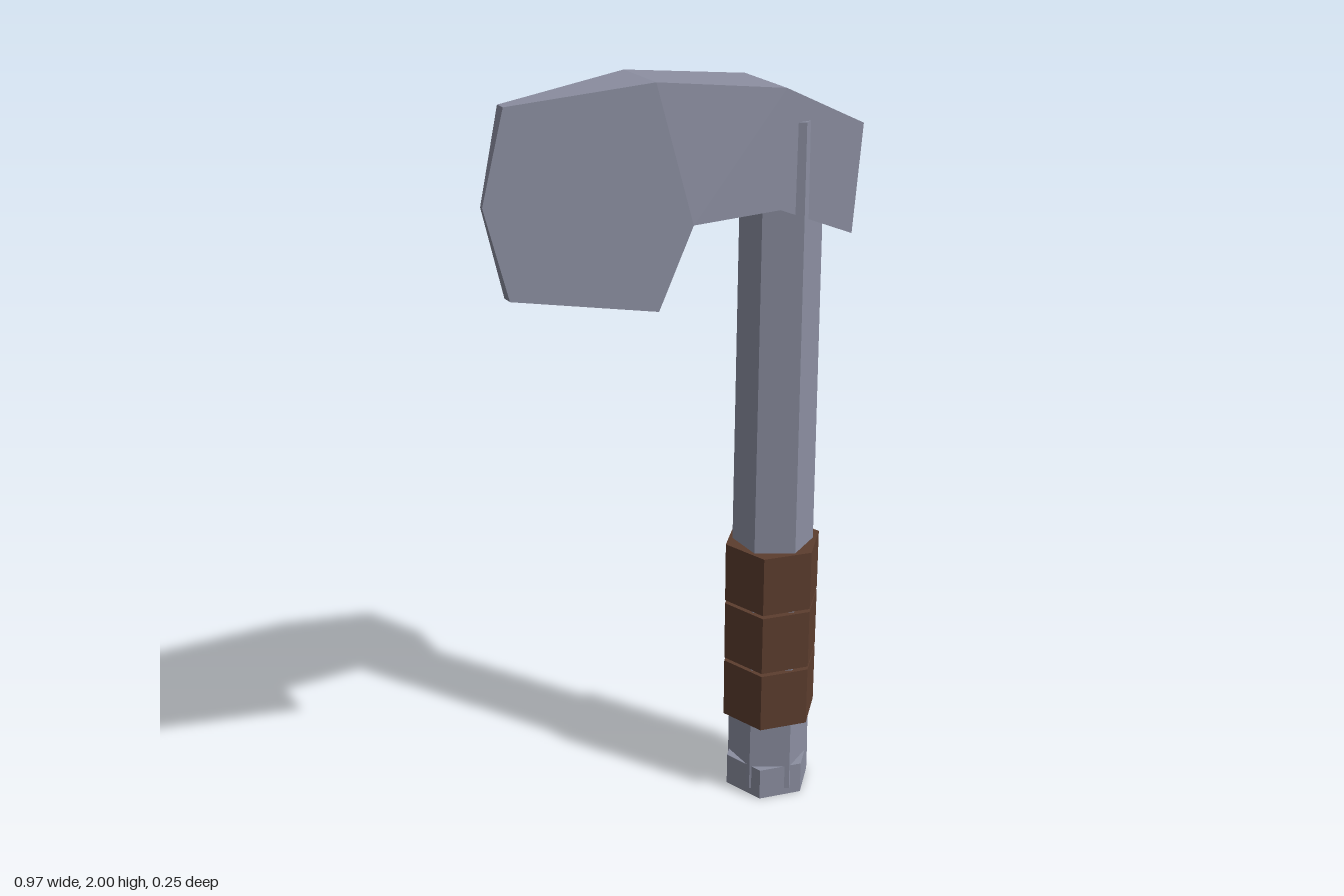
import * as THREE from 'three';

const steel = new THREE.MeshStandardMaterial({ color: 0x8b8ea0 });
steel.name = 'steel grey';
const leather = new THREE.MeshStandardMaterial({ color: 0x5c3d2e });
leather.name = 'leather brown';

const SHAFT_X = 0.312;
const TWIST = THREE.MathUtils.degToRad(17);

// Faceted six-sided prism standing on the shaft axis
function hexPrism(name, material, rTop, rBottom, y0, y1, twist = 0) {
  const geo = new THREE.CylinderGeometry(rTop, rBottom, y1 - y0, 6).toNonIndexed();
  geo.computeVertexNormals();
  const mesh = new THREE.Mesh(geo, material);
  mesh.name = name;
  mesh.position.set(SHAFT_X, (y0 + y1) / 2, 0);
  mesh.rotation.y = twist;
  return mesh;
}

// Axe head: outline whose half thickness tapers linearly to the cutting edge
function axeHead() {
  const outline = [
    [-0.485, 1.755], [-0.43, 1.53], [-0.075, 1.46], [0.01, 1.66], [0.25, 1.66],
    [0.46, 1.57], [0.483, 1.84], [0.26, 1.95], [-0.08, 2.0], [-0.43, 1.975],
  ];
  const half = (x) => Math.min(0.09, 0.005 + (x + 0.485) * 0.17);
  const corner = (i, side) => {
    const [x, y] = outline[i];
    return [x, y, side * half(x)];
  };
  const positions = [];
  const tri = (a, b, c) => positions.push(...a, ...b, ...c);

  // Blade cheek, crease and poll block, mirrored front to back
  for (const panel of [[8, 9, 0, 1, 2, 3], [3, 7, 8], [4, 5, 6, 7, 3]]) {
    for (let k = 1; k < panel.length - 1; k++) {
      const [a, b, c] = [panel[0], panel[k], panel[k + 1]];
      tri(corner(a, 1), corner(b, 1), corner(c, 1));
      tri(corner(a, -1), corner(c, -1), corner(b, -1));
    }
  }
  // Rim joining both cheeks
  outline.forEach((_, i) => {
    const j = (i + 1) % outline.length;
    tri(corner(i, 1), corner(i, -1), corner(j, -1));
    tri(corner(i, 1), corner(j, -1), corner(j, 1));
  });

  const geo = new THREE.BufferGeometry();
  geo.setAttribute('position', new THREE.Float32BufferAttribute(positions, 3));
  geo.computeVertexNormals();
  const mesh = new THREE.Mesh(geo, steel);
  mesh.name = 'axeHead';
  return mesh;
}

export function createModel() {
  const axe = new THREE.Group();
  axe.name = 'axe';
  axe.add(axeHead());
  axe.add(hexPrism('shaft', steel, 0.1, 0.109, 0.02, 1.865));
  axe.add(hexPrism('pommel', steel, 0.118, 0.118, 0, 0.09, TWIST));

  // Three leather bands around the grip
  for (let i = 0; i < 3; i++) {
    const y = 0.226 + i * 0.174;
    axe.add(hexPrism('gripBand' + (i + 1), leather, 0.13, 0.13, y, y + 0.165, TWIST));
  }
  return axe;
}
